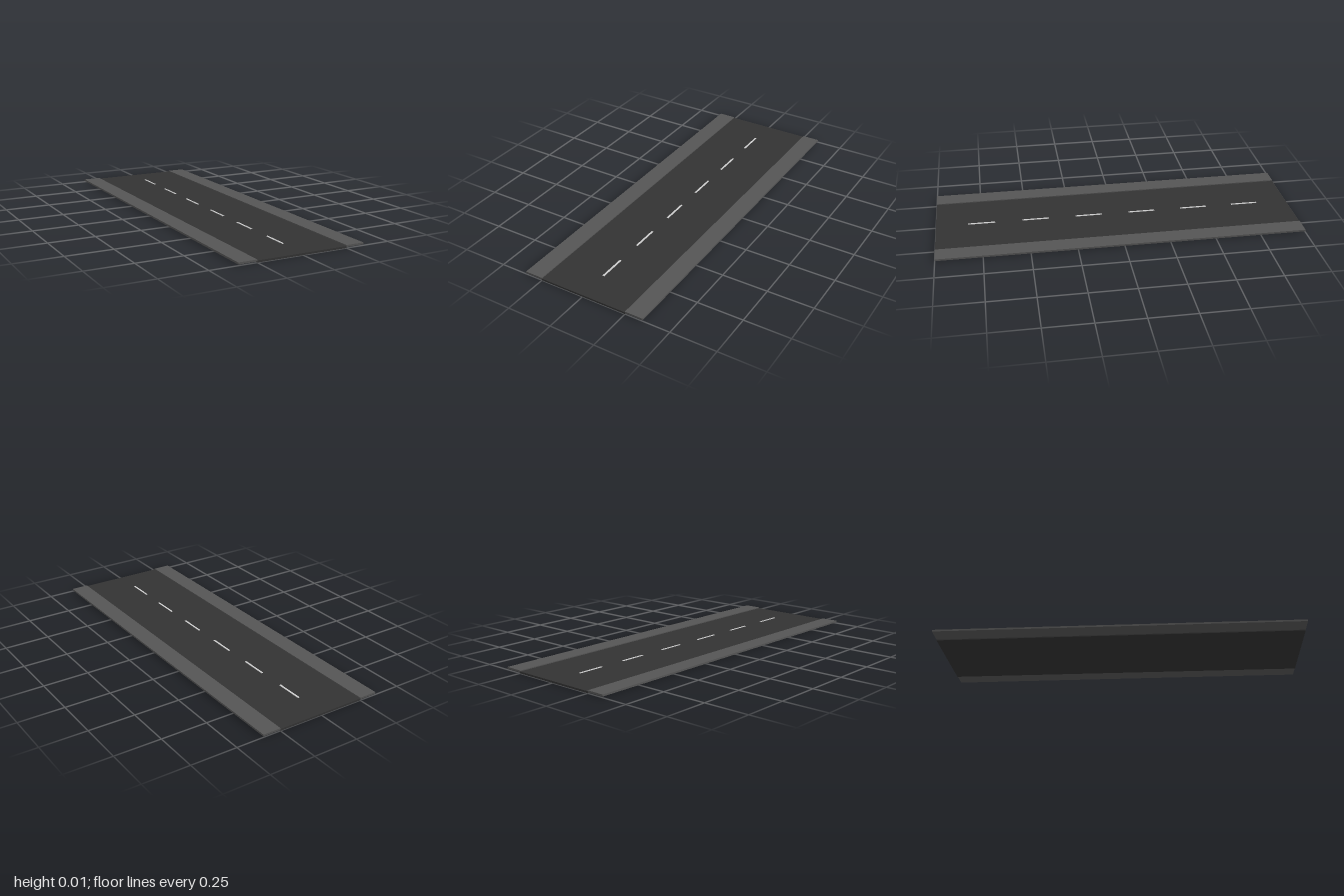
import * as THREE from 'three';

const LENGTH = 2;

export function createModel() {
  const road = new THREE.Group();
  road.name = 'roadSegment';

  const asphalt = new THREE.MeshStandardMaterial({ color: 0x333333 });
  const paving = new THREE.MeshStandardMaterial({ color: 0x555555 });
  const paint = new THREE.MeshStandardMaterial({ color: 0xffffff });

  // Adds a box by its size, its underside height and its place on the ground
  function slab(name, material, [w, h, d], x, bottom, z) {
    const mesh = new THREE.Mesh(new THREE.BoxGeometry(w, h, d), material);
    mesh.name = name;
    mesh.position.set(x, bottom + h / 2, z);
    road.add(mesh);
  }

  // Carriageway
  slab('carriageway', asphalt, [0.5, 0.01, LENGTH], 0, 0, 0);

  // Raised sidewalks along both edges
  slab('leftSidewalk', paving, [0.1, 0.01, LENGTH], 0.3, 0.005, 0);
  slab('rightSidewalk', paving, [0.1, 0.01, LENGTH], -0.3, 0.005, 0);

  // Dashed centre line
  for (let i = 0; i < 6; i++) {
    slab(`centreDash${i + 1}`, paint, [0.01, 0.0025, 0.15], 0, 0.01, -0.75 + i * 0.3);
  }

  return road;
}
